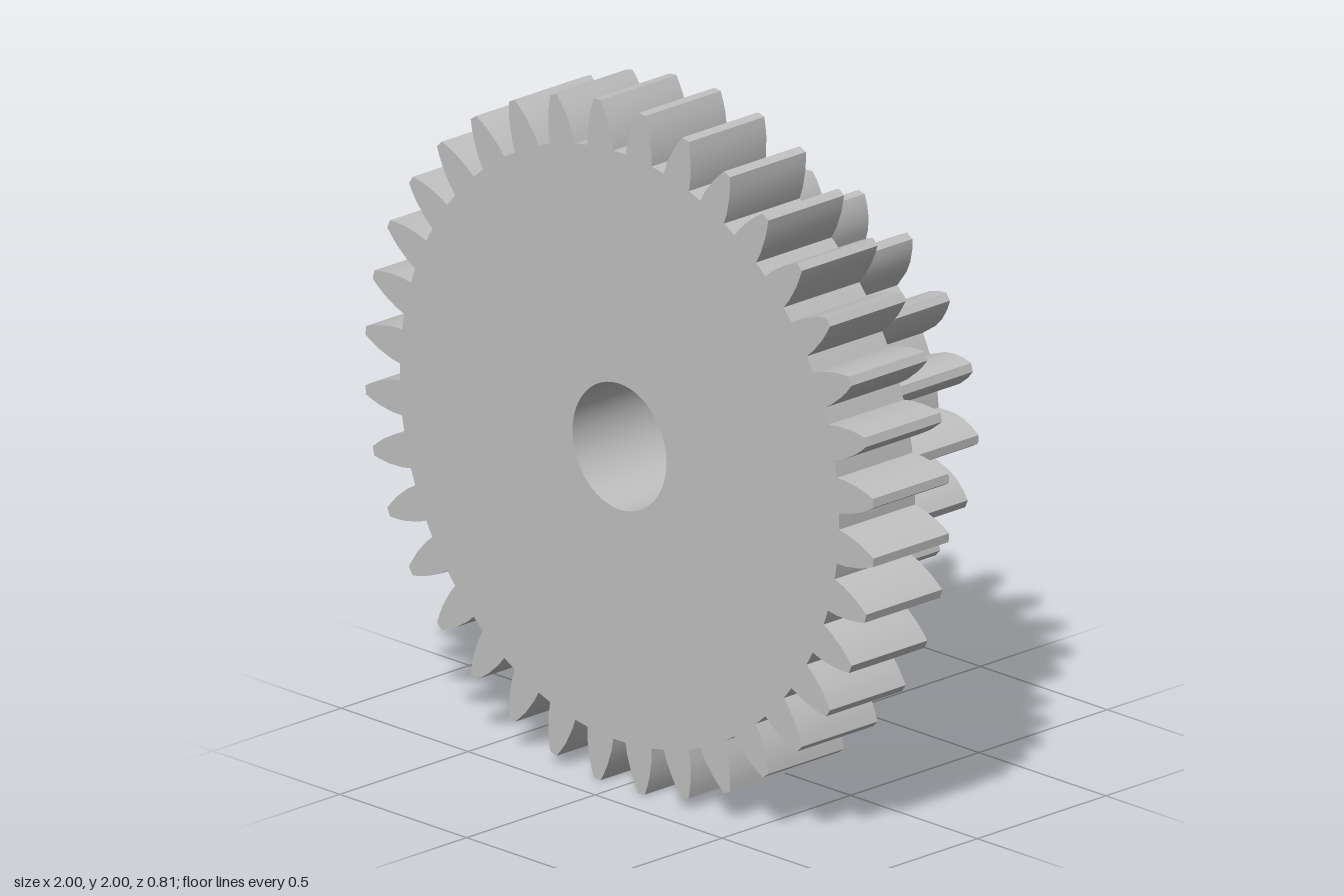
import * as THREE from 'three';
import { toCreasedNormals } from 'three/addons/utils/BufferGeometryUtils.js';

const BORE = 0.185;
const rad = THREE.MathUtils.degToRad;

// Spur gear with a round bore. flank lists [radius, half tooth angle in degrees] from root to tip.
function gearGeometry(teeth, phase, flank, z0, z1) {
  const pts = [];
  const add = (r, deg) => pts.push(new THREE.Vector2(r * Math.cos(rad(deg)), r * Math.sin(rad(deg))));
  for (let i = 0; i < teeth; i++) {
    const mid = phase + (i * 360) / teeth;
    flank.forEach(([r, a]) => add(r, mid - a));
    [...flank].reverse().forEach(([r, a]) => add(r, mid + a));
    add(flank[0][0], mid + 180 / teeth); // middle of the root land
  }
  const shape = new THREE.Shape(pts);
  const hole = new THREE.Path();
  hole.absarc(0, 0, BORE, 0, Math.PI * 2, true);
  shape.holes.push(hole);
  const geo = new THREE.ExtrudeGeometry(shape, { depth: z1 - z0, bevelEnabled: false, curveSegments: 48 });
  geo.translate(0, 0, z0);
  return toCreasedNormals(geo, rad(28));
}

export function createModel() {
  const group = new THREE.Group();
  group.name = 'compoundGear';
  const grey = new THREE.MeshStandardMaterial({ color: 0xc0c0c0 });
  grey.name = 'grey';

  // Wide front gear, 36 teeth
  const large = new THREE.Mesh(gearGeometry(36, 5,
    [[0.865, 3.4], [0.9, 3.05], [0.95, 2.15], [0.98, 1.4], [1.003, 0.75]], 0.11, 0.405), grey);
  large.name = 'largeGear';

  // Narrow rear pinion, 18 teeth
  const small = new THREE.Mesh(gearGeometry(18, -3,
    [[0.438, 5.9], [0.5, 5.6], [0.535, 4.6], [0.57, 2.9], [0.595, 1.2]], -0.405, 0.11), grey);
  small.name = 'smallGear';

  for (const gear of [large, small]) {
    gear.position.y = 1;
    group.add(gear);
  }
  return group;
}
